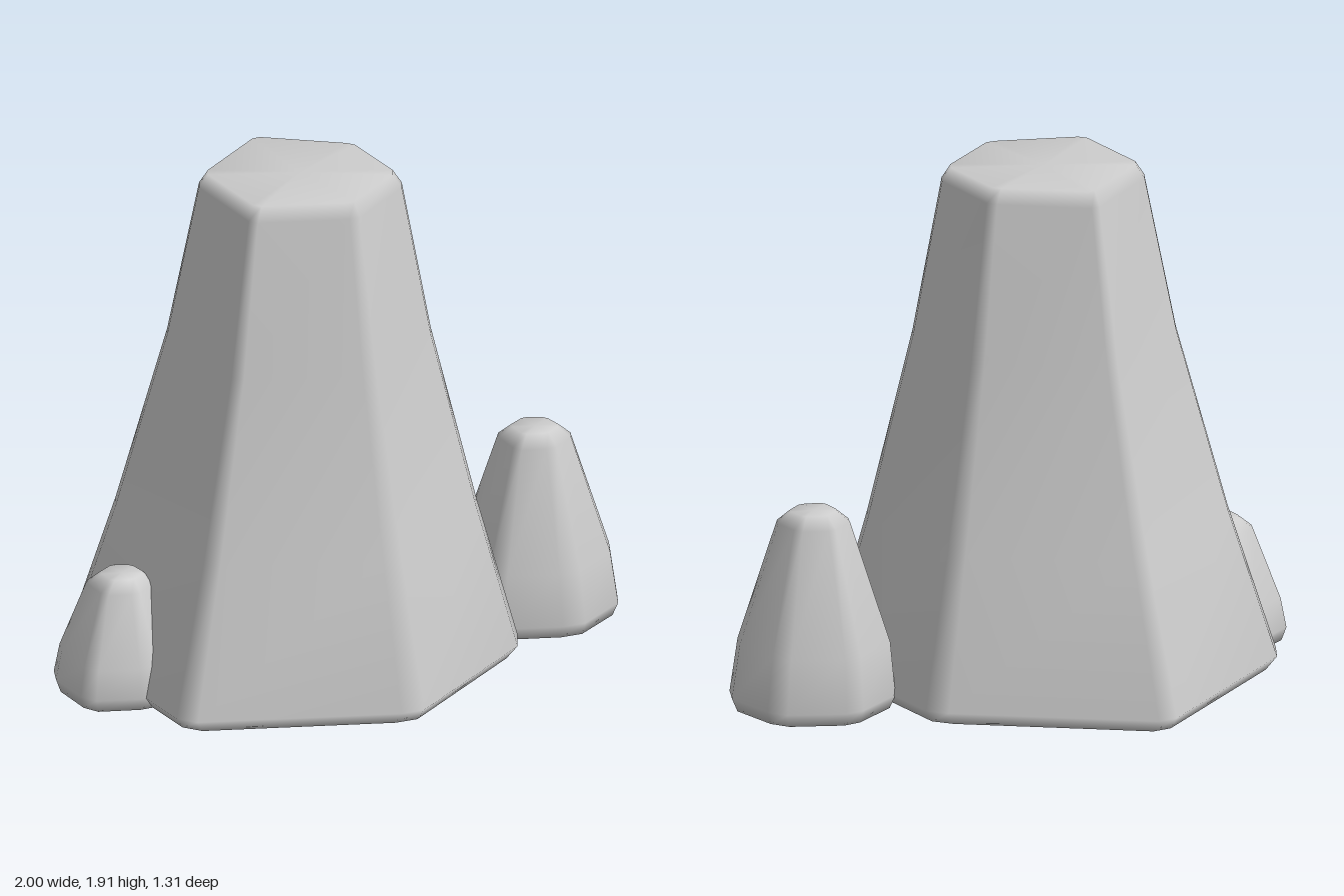
import * as THREE from 'three';

const material = new THREE.MeshStandardMaterial({ color: 0xcccccc });

// Lofts an outline of [x, z] points around `base` through levels of
// [y, centreX, centreZ, scaleX, scaleZ], closing both ends with a fan.
function rock(name, outline, base, levels) {
  const n = outline.length, pos = [], idx = [];
  for (const [y, cx, cz, sx, sz] of levels) {
    for (const [x, z] of outline) {
      pos.push(cx + (x - base[0]) * sx, y, cz + (z - base[1]) * sz);
    }
  }
  const last = (levels.length - 1) * n;
  for (let r = 0; r < last; r += n) {
    for (let i = 0; i < n; i++) {
      const a = r + i, b = r + (i + 1) % n;
      idx.push(a, a + n, b, b, a + n, b + n);
    }
  }
  const bottom = pos.length / 3, top = bottom + 1;
  for (const [y, cx, cz] of [levels[0], levels[levels.length - 1]]) pos.push(cx, y, cz);
  for (let i = 0; i < n; i++) {
    const j = (i + 1) % n;
    idx.push(bottom, i, j, top, last + j, last + i);
  }
  const geo = new THREE.BufferGeometry();
  geo.setAttribute('position', new THREE.Float32BufferAttribute(pos, 3));
  geo.setIndex(idx);
  geo.computeVertexNormals();
  const mesh = new THREE.Mesh(geo, material);
  mesh.name = name;
  return mesh;
}

export function createModel() {
  const group = new THREE.Group();
  group.name = 'rockFormation';

  // Tall tapering pillar: a hexagon with cut corners
  const hexagon = [
    [0.64, -0.04], [0.64, 0.05], [0.31, 0.55], [0.23, 0.58], [-0.49, 0.65], [-0.565, 0.62],
    [-0.955, 0.05], [-0.955, -0.04], [-0.575, -0.63], [-0.51, -0.66], [0.23, -0.55], [0.31, -0.52],
  ];
  group.add(rock('pillarRock', hexagon, [-0.16, 0], [
    [0, -0.16, 0, 0.95, 0.95],
    [0.05, -0.16, 0, 1, 1],
    [0.6, -0.147, 0, 0.8, 0.8],
    [1.28, -0.135, 0.01, 0.585, 0.595],
    [1.86, -0.13, 0.01, 0.45, 0.465],
    [1.91, -0.13, 0.01, 0.41, 0.415],
  ]));

  // Small rocks share one rounder outline
  const small = [
    [0.99, -0.37], [0.995, -0.29], [0.88, -0.13], [0.8, -0.1], [0.6, -0.08], [0.53, -0.12],
    [0.42, -0.28], [0.41, -0.36], [0.53, -0.51], [0.59, -0.54], [0.8, -0.545], [0.87, -0.51],
  ];
  const centre = [0.705, -0.315];
  group.add(rock('leftSmallRock', small, centre, [
    [0, 0.705, -0.315, 0.93, 0.92],
    [0.05, 0.705, -0.315, 1, 1],
    [0.25, 0.7, -0.315, 0.92, 0.94],
    [0.7, 0.7, -0.315, 0.44, 0.49],
    [0.74, 0.7, -0.315, 0.28, 0.29],
  ]));
  group.add(rock('rightSmallRock', small, centre, [
    [0, -0.765, 0.285, 0.74, 0.78],
    [0.05, -0.765, 0.285, 0.8, 0.85],
    [0.16, -0.765, 0.285, 0.73, 0.79],
    [0.42, -0.765, 0.285, 0.4, 0.44],
    [0.46, -0.76, 0.285, 0.25, 0.27],
  ]));
  return group;
}
